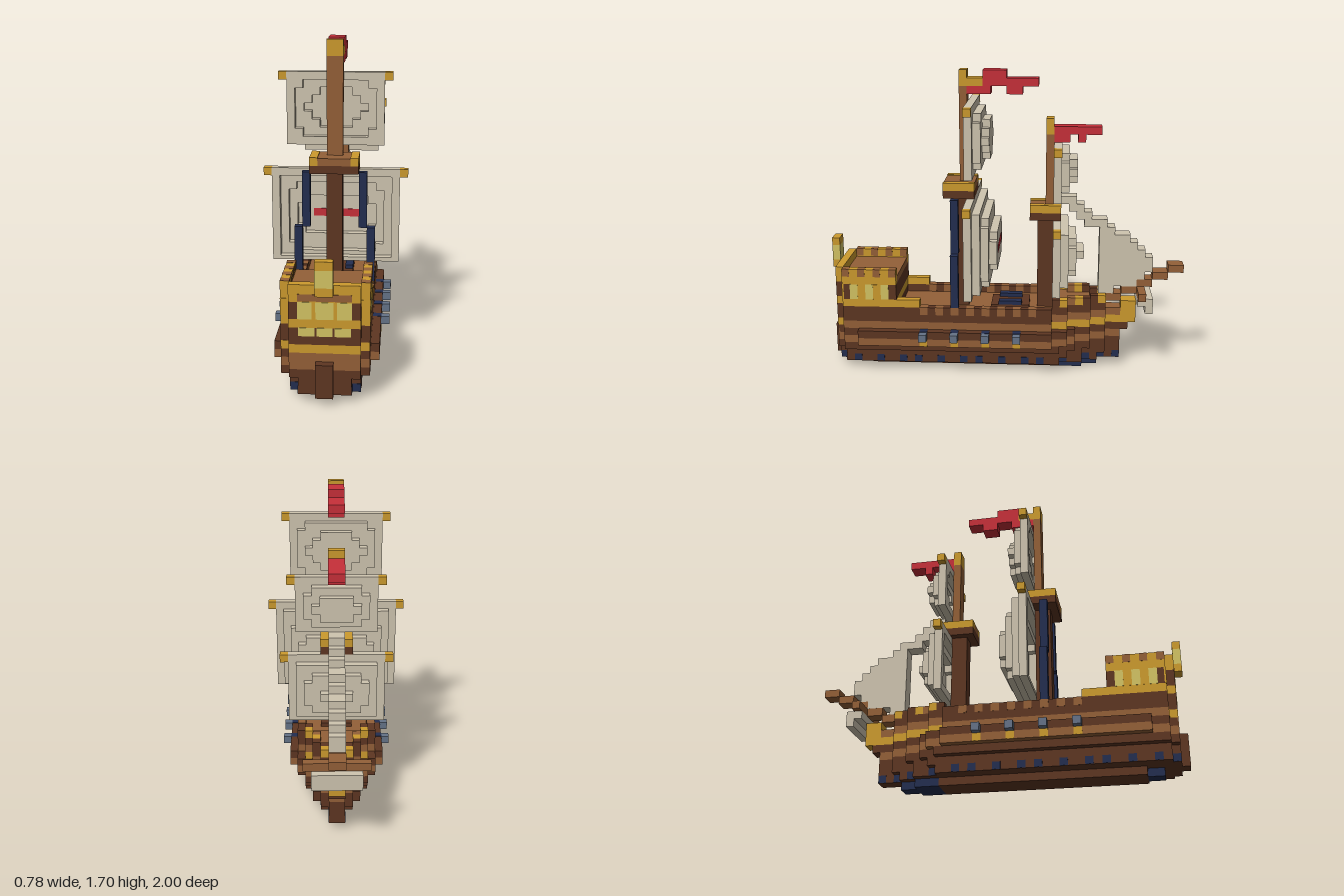
import * as THREE from 'three';
import { mergeGeometries } from 'three/addons/utils/BufferGeometryUtils.js';

const U = 2 / 46; // one block
const mat = (name, color) => {
  const m = new THREE.MeshStandardMaterial({ color });
  m.name = name;
  return m;
};

export function createModel() {
  const ship = new THREE.Group();
  ship.name = 'sailingShip';
  const dark = mat('darkWood', 0x5e3622), mid = mat('midWood', 0x946038), gold = mat('gold', 0xcd9b2e);
  const glass = mat('windowGlow', 0xd4c464), cloth = mat('sailCloth', 0xcfc5b0), red = mat('flagRed', 0xc8303a);
  const navy = mat('navy', 0x232e50), slate = mat('gunMetal', 0x657388);

  // Block coordinates: x across, y up, k counted from the stern towards the bow.
  const box = (x0, x1, y0, y1, k0, k1) => new THREE.BoxGeometry((x1 - x0) * U, (y1 - y0) * U, (k1 - k0) * U)
    .translate((x0 + x1) / 2 * U, (y0 + y1) / 2 * U, 1 - (k0 + k1) / 2 * U);
  const add = (name, material, geos) => {
    const mesh = new THREE.Mesh(mergeGeometries(geos), material);
    mesh.name = name;
    ship.add(mesh);
  };
  const part = (name, material, ...list) => add(name, material, list.map((a) => box(...a)));
  const pair = (name, material, ...list) => part(name, material,
    ...list.flatMap(([a, b, ...r]) => [[a, b, ...r], [-b, -a, ...r]]));
  const mid2 = (w, ...r) => [-w, w, ...r];

  // Hull courses: [material, y, then (half width, start, end) runs]
  const taper = [[4, 29, 31], [3, 31, 34], [2, 34, 36]];
  const bow = [[5, 29, 31], [4, 31, 32], [3, 32, 34], [2, 34, 36], [1, 36, 38]];
  const stern = [[4, 1, 2], [5, 2, 9]];
  const courses = [
    ['keel', dark, 0, [[2, 5, 30]]],
    ['keelEnds', navy, 0, [[1, 3, 5], [2, 30, 33], [1, 33, 35]]],
    ['bilge', dark, 1, [[3, 1, 2], [4, 2, 30], [3, 30, 33], [2, 33, 35], [1, 35, 38]]],
    ['lowerHull', dark, 2, [[3, 1, 2], [4, 2, 31], [3, 31, 33], [2, 33, 36], [1, 36, 38]]],
    ['middleHull', dark, 3, [[4, 1, 2], [5, 2, 30], [4, 30, 32], [3, 32, 34], [2, 34, 36], [1, 36, 38]]],
    ['wale', mid, 4, [[4, 1, 2], [5, 2, 4], [6, 4, 29], ...bow]],
    ['gunStrake', dark, 5, [[4, 1.1, 2], [5, 2, 4], [6, 4, 29], ...bow, [1, 38, 39]]],
    ['sternBandMid', mid, 5, [[4, 1, 1.1]]],
    ['sternBand', gold, 6, [[4, 1, 1.97], [5, 1.97, 2.03]]],
    ['sideBand', mid, 6, [[5, 2.03, 29]]],
    ['bowBand', gold, 6, [...taper, [1, 36, 40]]],
    ['upperHull', dark, 7, stern],
    ['bowStrake', mid, 7, [...taper, [1, 36, 38]]],
    ['beakhead', gold, 7, [[1, 38, 40]]],
    ['sternDeckBase', dark, 8, stern],
    ['bowDeck', mid, 8, [[3, 29, 31], [2, 31, 34], [1, 34, 36]]],
  ];
  for (const [name, m, y, runs] of courses) part(name, m, ...runs.map(([w, a, b]) => mid2(w, y, y + 1, a, b)));

  // Main deck and bulwarks
  part('mainDeck', mid, mid2(4, 7, 8, 9, 29));
  pair('bulwark', dark, [4, 5, 7, 9, 9, 29], [3, 4, 8, 9, 29, 31], [2, 3, 8, 9, 31, 34], [1, 2, 8, 9, 34, 36]);
  pair('railStuds', mid, ...Array.from({ length: 8 }, (_, i) => [3.97, 5.03, 8, 9.03, 12 + 2 * i, 13 + 2 * i]));
  pair('quarterRail', gold, [4, 5, 9, 10, 9, 12]);
  part('deckHatch', dark, mid2(2, 8, 8.5, 21, 26));
  pair('hatchSides', navy, [1, 2, 8.5, 9, 22, 25]);
  pair('bowRailGold', gold, [3, 4, 9, 10, 30, 31], [2, 3, 9, 10, 32, 33], [1, 2, 9, 10, 35, 36]);
  pair('bowRailDark', dark, [3, 4, 9, 10, 29, 30], [2, 3, 9, 10, 33, 34], [1, 2, 9, 10, 34, 35]);
  pair('bowRailMid', mid, [2, 3, 9, 10, 31, 32]);
  pair('hullStuds', navy, [2, 3.04, 1.03, 1.97, 1.02, 1.98],
    ...[3, 6, 9, 11, 14, 17, 19, 22, 25, 27].map((k) => [3, 4.04, 1.03, 1.97, k + 0.02, k + 1]),
    [2, 3.04, 1.03, 1.97, 30.02, 31], [1, 2.04, 1.03, 1.97, 33.02, 34], [0, 1.04, 1.03, 1.97, 35.02, 36], [0, 1.04, 1.03, 1.97, 37, 37.98]);
  pair('sternStuds', navy, [3, 3.99, 1.01, 1.99, 1.95, 2.1]);
  part('rudder', dark, mid2(1, 1, 5, 0, 1));

  // Guns
  const guns = [12, 16, 20, 24];
  pair('gunBarrel', slate, ...guns.map((k) => [6, 7, 5, 6, k, k + 1]));
  pair('gunPort', navy, ...guns.map((k) => [5, 6.04, 5.02, 6.04, k, k + 1]));
  pair('gunSill', gold, ...guns.map((k) => [5, 6.04, 4.02, 4.98, k, k + 1]));

  // Stern castle
  part('castleBase', gold, mid2(4, 9, 10, 1, 2), mid2(5, 9, 10, 2, 9));
  part('castleWall', dark, mid2(4, 10, 12, 1, 2), mid2(5, 10, 12, 2, 9));
  part('castleDeck', mid, mid2(4, 12, 12.9, 2, 9));
  pair('castleRail', gold, [4, 5, 12, 14, 2, 9]);
  part('castleBackRail', gold, mid2(4, 12, 14, 1, 2));
  pair('castleRailStuds', mid, ...[2, 4, 6, 8].map((k) => [3.97, 5.03, 13.02, 14.03, k + 0.03, k + 0.97]));
  pair('sideWindows', glass, ...[3, 5, 7].map((k) => [4, 5.04, 10, 12, k, k + 1]));
  pair('sideWindowPosts', gold, ...[4, 6].map((k) => [4, 5.03, 10, 12, k, k + 1]));
  pair('sternCorner', gold, [4, 5.02, 10, 12, 1.96, 2.2]);
  pair('sternPosts', gold, [1, 1.4, 10, 12, 0.96, 1.2]);
  part('sternWindows', glass, mid2(1, 10, 12, 0.95, 1.2), [1.4, 3, 10, 12, 0.95, 1.2], [-3, -1.4, 10, 12, 0.95, 1.2]);
  part('sternLowerWindows', glass, ...[-3, -1, 1].map((x) => [x + 0.1, x + 1.9, 8, 9, 0.95, 1.2]));
  part('sternLintel', mid, mid2(3, 12.1, 12.9, 0.95, 1.2));
  part('lanternFrame', gold, mid2(1, 13, 14, 0, 1), mid2(1, 16, 17, 0, 1));
  part('lanternGlass', glass, mid2(1, 14, 16, 0, 1));

  // Masts, each with a fighting top
  const mast = (name, k, platform, top, w) => {
    part(name + 'Lower', dark, mid2(1, 8, platform, k - 1, k + 1));
    part(name + 'Platform', dark, mid2(w, platform, platform + 1, k - 2, k + 2));
    part(name + 'PlatformFloor', mid, mid2(w - 1, platform + 1, platform + 1.9, k - 2, k + 2));
    pair(name + 'PlatformRim', gold, [w - 1, w, platform + 1, platform + 2, k - 2, k + 2]);
    part(name + 'Upper', mid, mid2(1, platform + 1.9, top - 2, k, k + 1));
    part(name + 'Cap', gold, mid2(1, top - 2, top, k, k + 1));
  };
  mast('mainMast', 17, 23, 39, 3);
  mast('foreMast', 28, 20, 33, 2);
  pair('shroud', navy, [3, 4, 16, 23, 16, 17], [4, 5, 9, 16, 16, 17]);

  // Square sails: hollow stepped shells, each layer [half width, bottom, top, corner steps]
  const outline = (path, [w, y0, y1, c]) => {
    const pts = [[w - c, y0]];
    for (let i = 1; i <= c; i++) pts.push([w - c + i - 1, y0 + i], [w - c + i, y0 + i]);
    for (let i = c; i >= 1; i--) pts.push([w - c + i, y1 - i], [w - c + i - 1, y1 - i]);
    pts.push([w - c, y1]);
    const left = pts.map(([x, y]) => [-x, y]).reverse();
    path.setFromPoints([...pts, ...left].map(([x, y]) => new THREE.Vector2(x * U, y * U)));
    path.closePath();
    return path;
  };
  const sail = (name, k, layers) => {
    add(name, cloth, layers.map((layer, i) => {
      const shape = outline(new THREE.Shape(), layer);
      if (layers[i + 1]) shape.holes.push(outline(new THREE.Path(), layers[i + 1]));
      return new THREE.ExtrudeGeometry(shape, { depth: U, bevelEnabled: false }).translate(0, 0, 1 - (k + i + 1) * U);
    }));
    const [w, , top] = layers[0];
    pair(name + 'YardEnds', gold, [w, w + 1, top - 1, top, k, k + 1]);
  };
  sail('mainCourse', 18, [[8, 11, 23, 0], [7, 11.5, 22, 0], [6, 12, 21, 1], [5, 14, 19, 1]]);
  sail('mainTopsail', 18, [[6, 26, 35, 0], [5, 27, 34, 1], [4, 28, 33, 2]]);
  sail('foreCourse', 29, [[6, 11, 20, 0], [5, 12, 19, 0], [4, 13, 18, 1], [2, 15, 16, 0]]);
  sail('foreTopsail', 29, [[5, 23, 30, 0], [4, 24, 29, 1], [3, 25, 28, 1]]);
  part('sailStripe', red, mid2(3, 16, 17, 20.96, 22.04));

  // Jib rows from the top down: [start, end]
  const jib = [[30, 32], [31, 33], [32, 34], [33, 36], [35, 37], [35, 39], [35, 40], [35, 41], [35, 42], [35, 42], [35, 41], [35, 40], [35, 37]];
  part('jib', cloth, ...jib.map(([a, b], i) => mid2(1, 22 - i, 23 - i, a, b)));

  // Bowsprit with its small sail
  part('bowsprit', mid, ...[[36, 38], [38, 41], [40, 42], [42, 44], [44, 46]].map(([a, b], i) => mid2(0.99, 9 + i, 10 + i, a, b)));
  part('spritYard', mid, mid2(4, 10, 11, 40, 41));
  part('spritSail', cloth, mid2(3, 8, 10, 41, 42), mid2(3, 9, 10, 40, 41));
  part('figurehead', gold, mid2(1, 8, 9, 38, 40));

  // Flags
  part('mainFlag', red, mid2(1, 38, 39, 20, 23), mid2(1, 37, 38, 20, 27), mid2(1, 36, 37, 18, 21), mid2(1, 36, 37, 23, 25));
  part('mainFlagStaff', gold, mid2(1, 37, 38, 18, 20));
  part('foreFlag', red, mid2(1, 31, 32, 29, 35), mid2(1, 30, 31, 29, 31), mid2(1, 30, 31, 32, 33));
  return ship;
}
